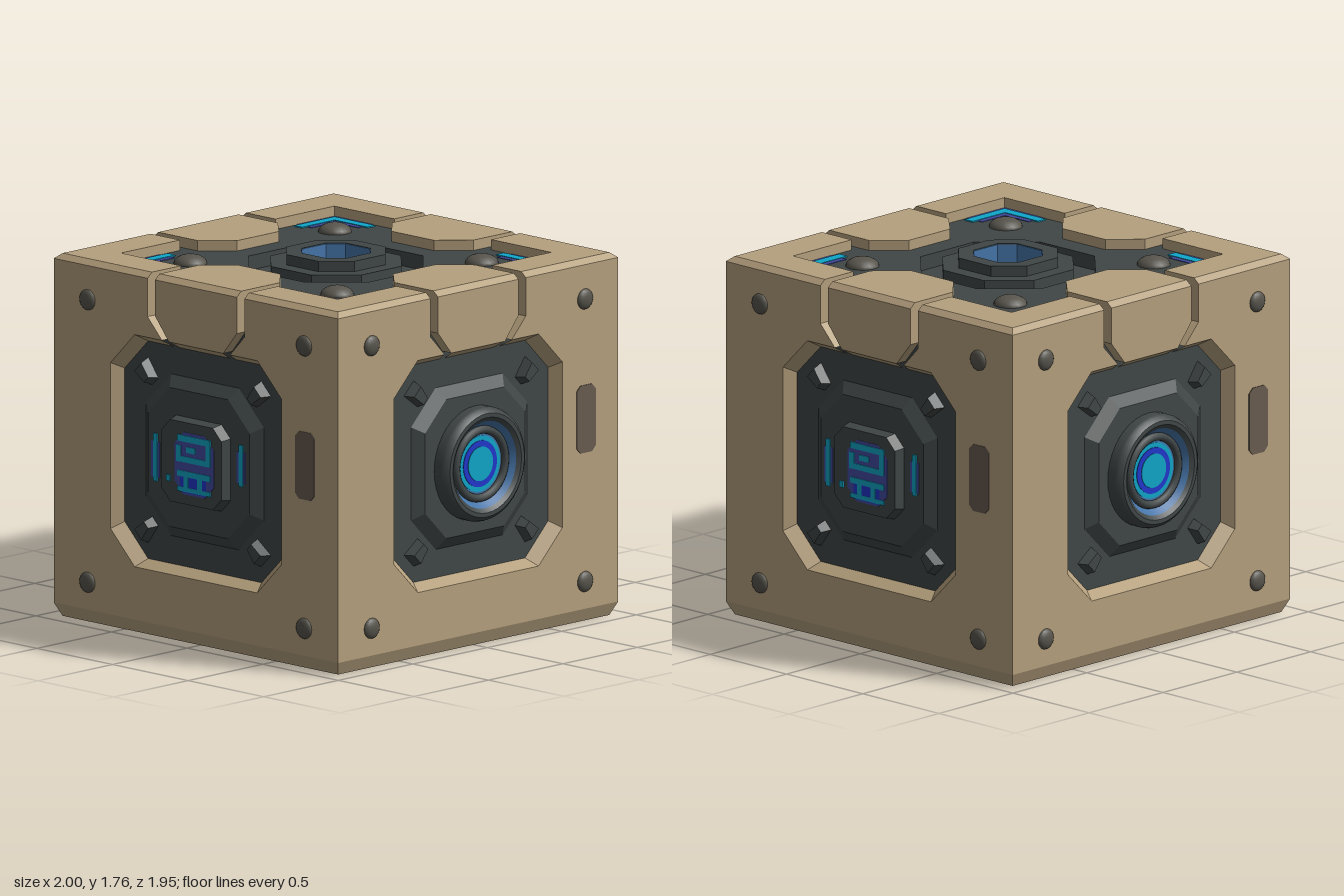
import * as THREE from 'three';
import { toCreasedNormals } from 'three/addons/utils/BufferGeometryUtils.js';

const mat = (name, color) => new THREE.MeshStandardMaterial({ name, color });
const tan = mat('tan shell', 0xb5a07d);
const dark = mat('dark core', 0x404646);
const boltGrey = mat('bolt grey', 0x57544c);
const plateGrey = mat('plate grey', 0x685c50);
const cyan = mat('glowing cyan', 0x0fa6c9);
const purple = mat('glow purple', 0x434aa0);
const blue = mat('deep blue', 0x2038cc);
const steel = mat('steel blue', 0x4574a8);

const MID = 0.88; // height of the side panel centres
const CORE = 0.88, OUT = 0.94; // core and shell half widths

function add(parent, name, geometry, material, x = 0, y = 0, z = 0) {
  const m = new THREE.Mesh(geometry, material);
  m.name = name;
  m.position.set(x, y, z);
  parent.add(m);
  return m;
}

const shapeOf = (pts) => new THREE.Shape(pts.map(([x, y]) => new THREE.Vector2(x, y)));

// Square with cut corners, counter-clockwise from the top left
const oct = (w, h, c) => [[-w + c, h], [-w, h - c], [-w, -h + c], [-w + c, -h],
  [w - c, -h], [w, -h + c], [w, h - c], [w - c, h]];

// Moves every vertex by a rule, then restores flat normals
function warp(geo, rule) {
  const p = geo.attributes.position, v = new THREE.Vector3();
  for (let i = 0; i < p.count; i++) {
    v.fromBufferAttribute(p, i);
    rule(v);
    p.setXYZ(i, v.x, v.y, v.z);
  }
  geo.computeVertexNormals();
  return geo;
}

const extrude = (pts, depth, steps = 1, hole = null) => {
  const s = shapeOf(pts);
  if (hole) s.holes.push(shapeOf(hole));
  return new THREE.ExtrudeGeometry(s, { depth, steps, bevelEnabled: false, curveSegments: 8 });
};

// Extrusion whose front end is scaled down
const tapered = (pts, depth, k) => warp(extrude(pts, depth), (v) => {
  if (v.z > depth / 2) { v.x *= k; v.y *= k; }
});

// Horizontal slab from x,z points, rising from y0 to y1
const slab = (pts, y0, y1, steps = 1, hole = null) =>
  extrude(pts.map(([x, z]) => [x, -z]), y1 - y0, steps, hole).rotateX(-Math.PI / 2).translate(0, y0, 0);

// Pulls the outer edge in at one height
const bevelAt = (geo, y) => warp(geo, (v) => {
  if (Math.abs(v.y - y) > 0.001) return;
  if (Math.abs(v.x) > 0.93) v.x = Math.sign(v.x) * 0.91;
  if (Math.abs(v.z) > 0.93) v.z = Math.sign(v.z) * 0.91;
});

// Open strip of sloped quads between two paths
function strip(a, za, b, zb) {
  const pos = [];
  for (let i = 0; i + 1 < a.length; i++) {
    const q = [[...a[i], za], [...a[i + 1], za], [...b[i + 1], zb], [...b[i], zb]];
    for (const k of [0, 1, 2, 0, 2, 3]) pos.push(...q[k]);
  }
  const g = new THREE.BufferGeometry();
  g.setAttribute('position', new THREE.Float32BufferAttribute(pos, 3));
  g.computeVertexNormals();
  return g;
}

const lathe = (pts) => toCreasedNormals(new THREE.LatheGeometry(
  pts.map(([r, y]) => new THREE.Vector2(r, y)), 40).rotateX(Math.PI / 2), 0.6);

const disc = (r, z0, z1) => lathe([[r, z0], [r, z1], [0, z1]]);

// Abstract glowing circuit lines on a raised plate
function circuitPanel(g) {
  add(g, 'raisedPlate', tapered(oct(0.21, 0.21, 0.06), 0.055, 0.94), dark, 0, MID, 0.915);
  const bar = (name, m, x, y, w, h, z, t) => add(g, name, new THREE.BoxGeometry(w, h, t), m, x, y, z + t / 2);
  add(g, 'circuitGlow', extrude(oct(0.13, 0.15, 0.06), 0.003), purple, 0.02, 0.88, 0.97);
  bar('circuitBase', blue, 0.015, 0.79, 0.17, 0.1, 0.97, 0.005);
  const lines = [[0.02, 1.0, 0.22, 0.03], [0.115, 0.95, 0.03, 0.12], [0.02, 0.9, 0.22, 0.028],
    [-0.08, 0.925, 0.03, 0.08], [0, 0.948, 0.06, 0.028], [0.02, 0.83, 0.22, 0.028],
    [0.02, 0.755, 0.22, 0.022], [-0.03, 0.79, 0.03, 0.06], [0.06, 0.79, 0.03, 0.06],
    [-0.15, 0.795, 0.025, 0.03]];
  for (const [x, y, w, h] of lines) bar('circuitLine', cyan, x, y, w, h, 0.97, 0.007);
  // Side lights
  for (const [x, y, h] of [[-0.285, 0.865, 0.23], [0.28, 0.91, 0.2]]) {
    bar('sideGlow', purple, x, y - 0.01, 0.055, h * 0.75, 0.92, 0.003);
    bar('sideLight', cyan, x, y, 0.027, h, 0.92, 0.006);
  }
}

// Round lens with nested rings
function lens(parent) {
  const g = new THREE.Group();
  g.name = 'lens';
  g.position.y = MID;
  parent.add(g);
  add(g, 'lensHousing', lathe([[0.275, 0.9], [0.275, 0.965], [0.268, 0.985], [0.25, 1], [0.23, 1], [0.21, 0.985]]), dark);
  add(g, 'lensRing', lathe([[0.21, 0.985], [0.18, 0.945], [0.13, 0.945]]), steel);
  add(g, 'innerRing', new THREE.TorusGeometry(0.164, 0.02, 10, 40), dark, 0, 0, 0.955);
  add(g, 'lensEdge', disc(0.148, 0.93, 0.948), steel);
  add(g, 'lensOuterLight', disc(0.135, 0.94, 0.951), cyan);
  add(g, 'lensBlueRing', disc(0.112, 0.945, 0.954), blue);
  add(g, 'lensCentre', disc(0.083, 0.95, 0.957), cyan);
}

// One wall with its share of the top; local front is +z
function wall(i) {
  const g = new THREE.Group();
  g.name = ['frontWall', 'rightWall', 'backWall', 'leftWall'][i];
  g.rotation.y = i * Math.PI / 2;
  const up = (pts) => pts.map(([x, y]) => [x, y + MID]);

  // Shell panel with octagonal opening and two slots
  const outer = [[-0.225, 1.44], ...up(oct(0.565, 0.56, 0.16)), [0.225, 1.44]];
  const inner = [[-0.2, 1.405], ...up(oct(0.53, 0.525, 0.155)), [0.2, 1.405]];
  const outline = [[-OUT, 0.065], [OUT, 0.065], [OUT, 1.7], [0.32, 1.7], [0.32, 1.54],
    ...outer.slice().reverse(), [-0.32, 1.54], [-0.32, 1.7], [-OUT, 1.7]];
  const panel = warp(extrude(outline, OUT - CORE), (v) => {
    if (v.z < 0.01 && Math.abs(v.x) > 0.93) v.x = Math.sign(v.x) * CORE;
  });
  add(g, 'shellPanel', panel, tan, 0, 0, CORE);
  add(g, 'openingRim', strip(outer, OUT, inner, CORE), tan);
  add(g, 'tabRim', strip([[0.18, 1.44], [-0.18, 1.44]], OUT, [[0.165, 1.405], [-0.165, 1.405]], CORE), tan);

  // Tab folding over the top edge
  add(g, 'tabFront', extrude([[-0.27, 1.7], [-0.27, 1.55], [-0.18, 1.44], [0.18, 1.44], [0.27, 1.55], [0.27, 1.7]],
    OUT - CORE), tan, 0, 0, CORE);
  add(g, 'tabTop', bevelAt(slab([[-0.27, OUT], [-0.27, 0.65], [-0.14, 0.515], [0.14, 0.515], [0.27, 0.65], [0.27, OUT]],
    1.7, 1.75, 2), 1.75), tan);

  // Top corner bracket, light and dome
  add(g, 'cornerBracket', bevelAt(slab([[OUT, OUT], [OUT, 0.32], [0.716, 0.32], [0.716, 0.716], [0.32, 0.716], [0.32, OUT]],
    1.7, 1.75, 2), 1.75), tan);
  const ell = (a, b, e, y) => slab([[a, a], [a, e], [b, e], [b, b], [e, b], [e, a]], 1.7, y);
  add(g, 'cornerGlow', ell(0.712, 0.615, 0.46, 1.703), purple);
  add(g, 'cornerLight', ell(0.695, 0.643, 0.425, 1.706), cyan);
  add(g, 'topDome', new THREE.SphereGeometry(0.08, 20, 10), boltGrey, 0.485, 1.7, 0.485).scale.y = 0.55;

  // Raised dark panel with corner clamps
  add(g, 'raisedPanel', tapered(oct(0.39, 0.39, 0.165), 0.04, 0.86), dark, 0, MID, CORE);
  for (const sx of [-1, 1]) for (const sy of [-1, 1]) {
    const clamp = add(g, 'clamp', tapered([[-0.028, -0.06], [0.028, -0.06], [0.045, 0.05], [-0.045, 0.05]], 0.05, 0.7),
      dark, sx * 0.37, MID + sy * 0.38, CORE);
    clamp.rotation.z = Math.atan2(-sx, sy);
  }

  // Bolts and label plate
  for (const x of [-0.716, 0.716]) for (const y of [0.197, 1.56])
    add(g, 'bolt', new THREE.SphereGeometry(0.05, 16, 10), boltGrey, x, y, OUT).scale.z = 0.45;
  add(g, 'sidePlate', extrude(oct(0.063, 0.163, 0.025), 0.004), plateGrey, 0.722, 0.982, OUT);

  if (i % 2) lens(g); else circuitPanel(g);
  return g;
}

export function createModel() {
  const model = new THREE.Group();
  model.name = 'crate';
  const sq = (s) => [[-s, -s], [s, -s], [s, s], [-s, s]];

  // Core, deck and base frame
  add(model, 'core', new THREE.BoxGeometry(CORE * 2, 1.6, CORE * 2), dark, 0, 0.83, 0);
  add(model, 'topDeck', slab(sq(CORE), 1.63, 1.7, 1, oct(0.4, 0.4, 0.22)), dark);
  add(model, 'baseFrame', bevelAt(slab(sq(OUT), 0, 0.065, 1, sq(0.71)), 0), tan);

  // Stepped hatch with a blue well
  add(model, 'hatchStep', slab(oct(0.3, 0.3, 0.165), 1.63, 1.71, 1, oct(0.16, 0.16, 0.075)), dark);
  add(model, 'hatchRing', slab(oct(0.225, 0.225, 0.12), 1.7, 1.76, 1, oct(0.15, 0.15, 0.07)), dark);
  add(model, 'wellWall', slab(oct(0.16, 0.16, 0.075), 1.63, 1.757, 1, oct(0.145, 0.145, 0.065)), steel);
  add(model, 'wellFloor', slab(oct(0.15, 0.15, 0.07), 1.63, 1.637), steel);

  for (let i = 0; i < 4; i++) model.add(wall(i));
  return model;
}
